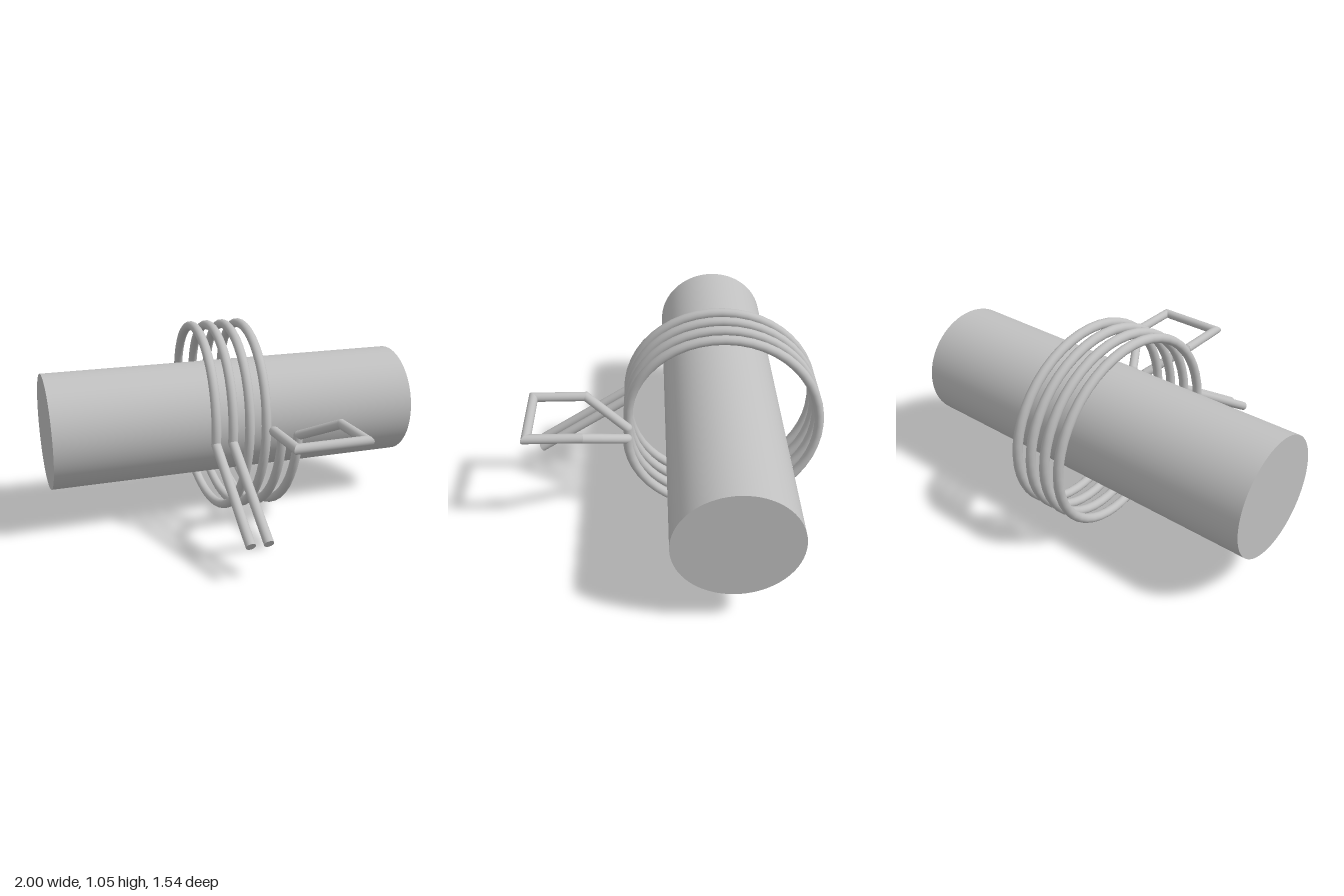
import * as THREE from 'three';

const AXIS_Y = 0.53, AXIS_Z = -0.246;
const COIL_R = 0.5, WIRE_R = 0.0245, PITCH = 0.178, TURNS = 2;

// One strand of the coil, wound around the rod from the front over the top
class Helix extends THREE.Curve {
  constructor(x0) {
    super();
    this.x0 = x0;
  }
  getPoint(t, target = new THREE.Vector3()) {
    const a = t * TURNS * Math.PI * 2;
    return target.set(
      this.x0 + PITCH * TURNS * t,
      AXIS_Y + COIL_R * Math.sin(a),
      AXIS_Z + COIL_R * Math.cos(a)
    );
  }
}

// Straight wire pieces along a polyline, mitred where they meet
function bentWire(points, material, name) {
  const group = new THREE.Group();
  group.name = name;
  const dirs = points.slice(1).map((p, i) => p.clone().sub(points[i]).normalize());
  dirs.forEach((d, i) => {
    const a = points[i], b = points[i + 1];
    const geo = new THREE.CylinderGeometry(WIRE_R, WIRE_R, a.distanceTo(b), 20);
    geo.applyQuaternion(new THREE.Quaternion().setFromUnitVectors(new THREE.Vector3(0, 1, 0), d));
    const mid = a.clone().lerp(b, 0.5);
    geo.translate(mid.x, mid.y, mid.z);
    // slide each end's vertices along the wire onto the bisecting plane
    const pos = geo.attributes.position, v = new THREE.Vector3();
    for (let k = 0; k < pos.count; k++) {
      v.fromBufferAttribute(pos, k);
      const atEnd = v.clone().sub(mid).dot(d) > 0;
      const corner = atEnd ? b : a;
      const other = dirs[atEnd ? i + 1 : i - 1] || d;
      const n = d.clone().add(other).normalize();
      v.addScaledVector(d, -v.clone().sub(corner).dot(n) / d.dot(n));
      pos.setXYZ(k, v.x, v.y, v.z);
    }
    const mesh = new THREE.Mesh(geo, material);
    mesh.name = name + 'Piece';
    group.add(mesh);
  });
  return group;
}

export function createModel() {
  const model = new THREE.Group();
  model.name = 'coilOnRod';
  const steel = new THREE.MeshStandardMaterial({ color: 0xc0c0c0 });
  steel.name = 'steel grey';

  const add = (geo, name) => {
    const mesh = new THREE.Mesh(geo, steel);
    mesh.name = name;
    model.add(mesh);
    return mesh;
  };

  // Rod through the coil
  const rod = add(new THREE.CylinderGeometry(0.304, 0.304, 2, 72).rotateZ(Math.PI / 2), 'rod');
  rod.position.set(0, AXIS_Y, AXIS_Z);

  // Two parallel strands, each with a straight leg at its start
  const ends = [-0.225, -0.136].map((x0) => {
    const helix = new Helix(x0);
    add(new THREE.TubeGeometry(helix, 96, WIRE_R, 16, false), 'coilStrand');
    const start = helix.getPoint(0), end = helix.getPoint(1);
    for (const p of [start, end]) {
      add(new THREE.SphereGeometry(WIRE_R, 16, 12), 'wireBend').position.copy(p);
    }
    model.add(bentWire([start, new THREE.Vector3(x0, 0.2, 0.754)], steel, 'leg'));
    return end;
  });

  // Loop joining the two strands at the front
  model.add(bentWire([
    ends[0],
    new THREE.Vector3(-0.002, 0.642, 0.472),
    new THREE.Vector3(-0.002, 0.642, 0.746),
    new THREE.Vector3(0.352, 0.642, 0.746),
    new THREE.Vector3(0.352, 0.642, 0.472),
    ends[1]
  ], steel, 'loop'));

  return model;
}
